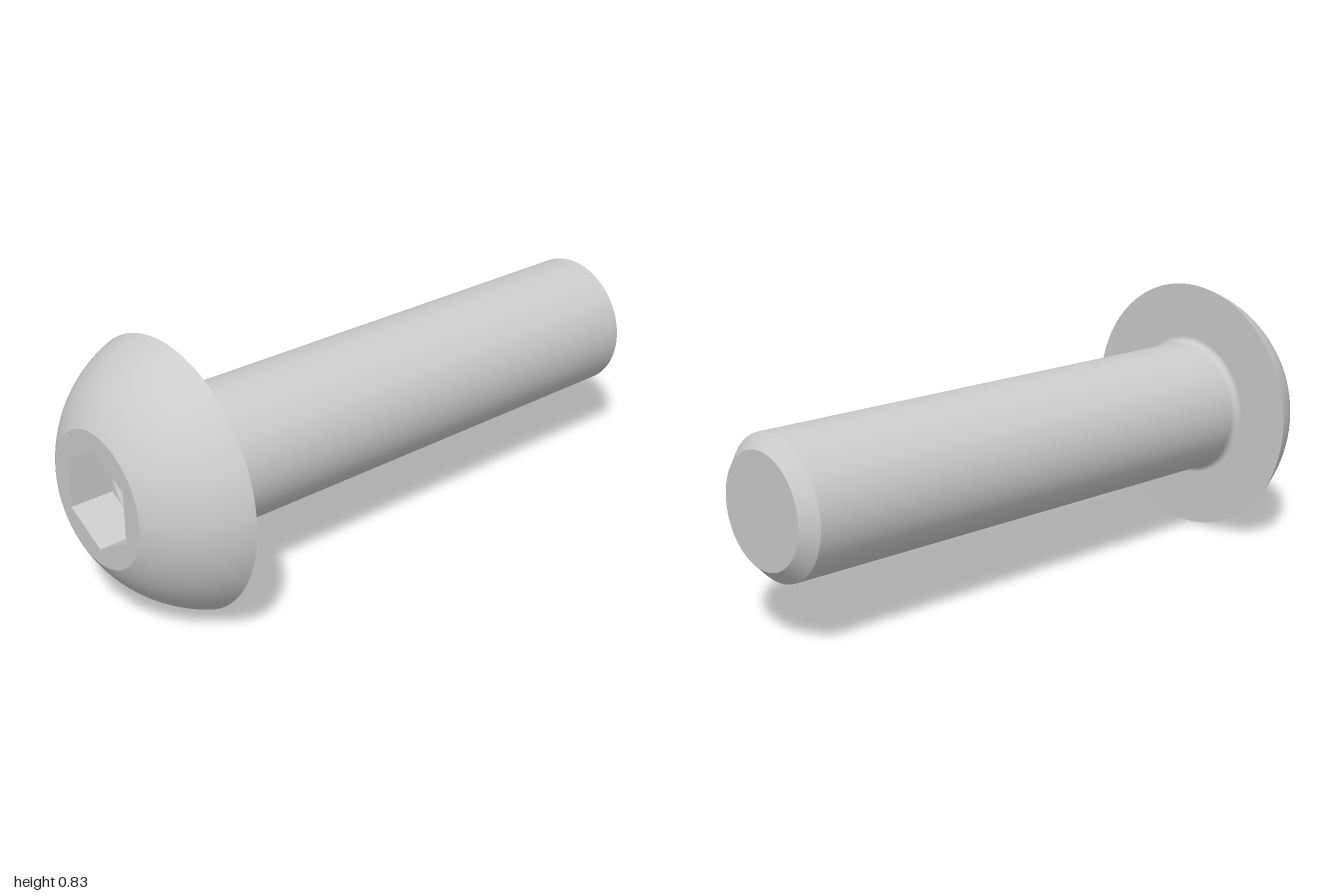
import * as THREE from 'three';

const HEAD_R = 0.417, FLAT_R = 0.208, SHANK_R = 0.217, TIP_R = 0.174;
const HEAD_Z = 0.76, SOCKET_Z = 0.86, HEX_R = 0.159, DRILL_R = 0.137, FILLET = 0.02;
const SEGMENTS = 96;

// Points on a circular arc as [radius, z] pairs
function arc(cr, cz, r, from, to, steps) {
  return Array.from({ length: steps + 1 }, (_, i) => {
    const a = from + (to - from) * i / steps;
    return [cr + r * Math.cos(a), cz + r * Math.sin(a)];
  });
}

// Regular polygon outline with one corner pointing up
function polygon(Type, radius, sides) {
  return new Type(Array.from({ length: sides }, (_, i) => {
    const a = Math.PI / 2 + i * Math.PI * 2 / sides;
    return new THREE.Vector2(radius * Math.cos(a), radius * Math.sin(a));
  }));
}

export function createModel() {
  const model = new THREE.Group();
  model.name = 'buttonHeadScrew';
  const smooth = new THREE.MeshStandardMaterial({ color: 0xcccccc });
  const faceted = new THREE.MeshStandardMaterial({ color: 0xcccccc, flatShading: true });

  function add(name, geometry, material = smooth) {
    const mesh = new THREE.Mesh(geometry, material);
    mesh.name = name;
    mesh.position.y = HEAD_R;
    model.add(mesh);
  }
  // Surface turned around the z axis; separate pieces keep the edges sharp
  function turned(name, profile, segments = SEGMENTS, material = smooth) {
    const points = profile.map(([r, z]) => new THREE.Vector2(r, z));
    add(name, new THREE.LatheGeometry(points, segments).rotateX(Math.PI / 2), material);
  }
  // Flat ring facing the front
  function plate(name, outline, hole, z) {
    outline.holes.push(hole);
    add(name, new THREE.ShapeGeometry(outline).translate(0, 0, z));
  }

  // Shank, from its tip to the fillet under the head
  turned('shankTip', [[0, -1], [TIP_R, -1]]);
  turned('tipChamfer', [[TIP_R, -1], [SHANK_R, -0.957]]);
  turned('shank', [[SHANK_R, -0.957], [SHANK_R, HEAD_Z - FILLET]]);
  turned('neckFillet',
    arc(SHANK_R + FILLET, HEAD_Z - FILLET, FILLET, Math.PI, Math.PI / 2, 8));

  // Domed head, a slice of a sphere centred on the axis
  turned('headUnderside', [[SHANK_R + FILLET, HEAD_Z], [HEAD_R, HEAD_Z]]);
  const domeZ = (1 + FLAT_R ** 2 - HEAD_Z ** 2 - HEAD_R ** 2) / (2 * (1 - HEAD_Z));
  turned('headDome', arc(0, domeZ, Math.hypot(HEAD_R, HEAD_Z - domeZ),
    Math.atan2(HEAD_Z - domeZ, HEAD_R), Math.atan2(1 - domeZ, FLAT_R), 24));
  plate('headFace', polygon(THREE.Shape, FLAT_R, SEGMENTS), polygon(THREE.Path, HEX_R, 6), 1);

  // Hexagonal socket with a conical drill point
  turned('socketWalls', [[HEX_R, 1], [HEX_R, SOCKET_Z]], 6, faceted);
  plate('socketFloor', polygon(THREE.Shape, HEX_R, 6),
    polygon(THREE.Path, DRILL_R, SEGMENTS), SOCKET_Z);
  turned('drillPoint', [[DRILL_R, SOCKET_Z], [0, SOCKET_Z - 0.08]]);

  return model;
}
